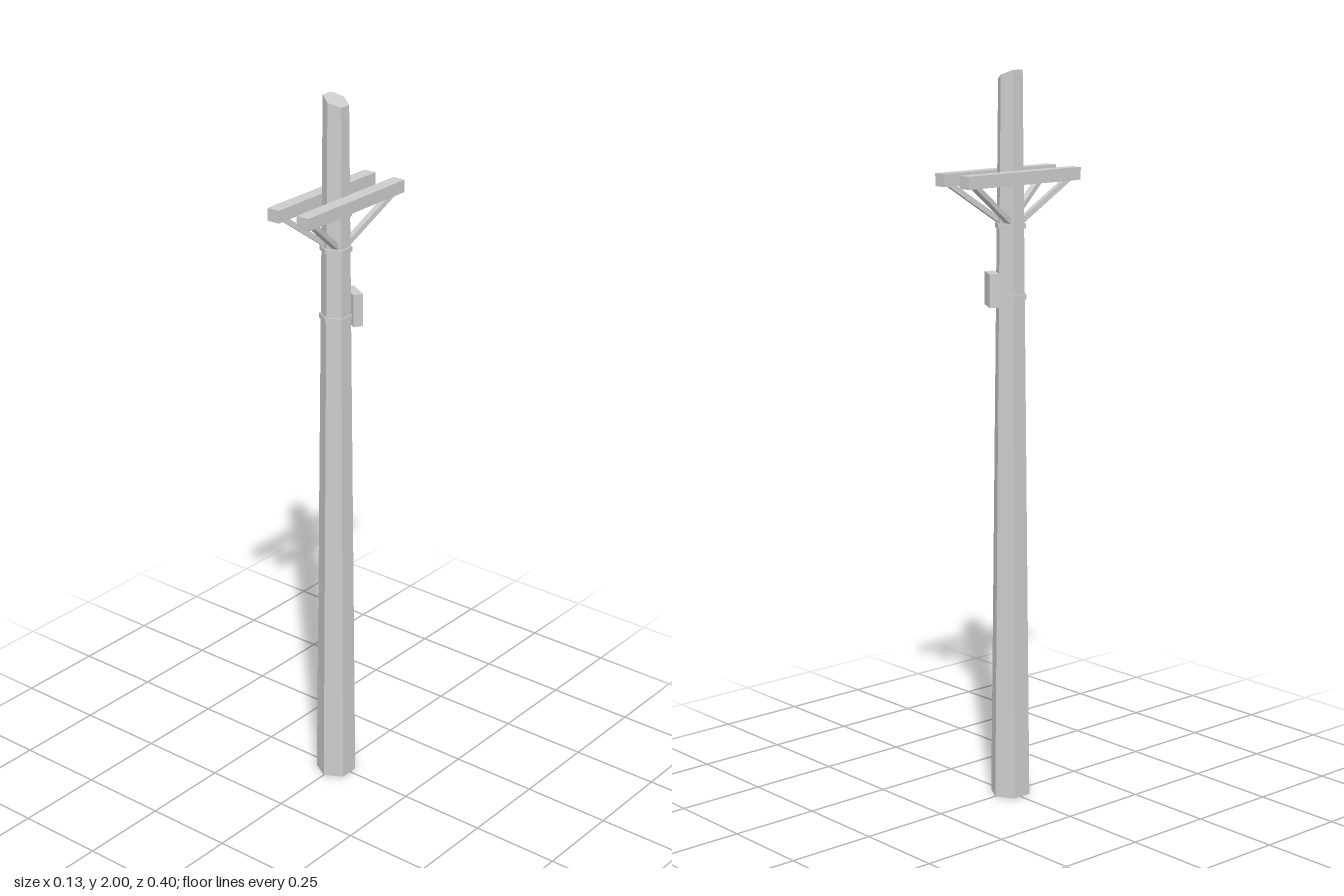
import * as THREE from 'three';

const material = new THREE.MeshStandardMaterial({ color: 0xcccccc, flatShading: true });
const POLE_Z = 0.005;

export function createModel() {
  const model = new THREE.Group();
  model.name = 'utilityPole';

  const add = (name, geometry, x, y, z) => {
    const mesh = new THREE.Mesh(geometry, material);
    mesh.name = name;
    mesh.position.set(x, y, z);
    model.add(mesh);
    return mesh;
  };

  // Tapered six-sided pole, its top cut at a slant
  const pole = new THREE.CylinderGeometry(0.034, 0.056, 2, 6);
  const pos = pole.attributes.position;
  for (let i = 0; i < pos.count; i++) {
    if (pos.getY(i) > 0) pos.setY(i, 1 - (pos.getX(i) + 0.0294) * 0.42);
  }
  pole.computeVertexNormals();
  add('pole', pole, 0, 1, POLE_Z);

  // Metal bands around the pole
  add('upperBand', new THREE.CylinderGeometry(0.043, 0.043, 0.013, 6), 0, 1.59, POLE_Z);
  add('lowerBand', new THREE.CylinderGeometry(0.045, 0.045, 0.013, 6), 0, 1.4, POLE_Z);

  // Equipment box on the back left face of the pole
  const angle = THREE.MathUtils.degToRad(150);
  const reach = 0.05;
  const box = add('equipmentBox', new THREE.BoxGeometry(0.068, 0.09, 0.027),
    Math.sin(angle) * reach, 1.42, POLE_Z + Math.cos(angle) * reach);
  box.rotation.y = angle;

  // Pair of crossarms, each held by two slanted braces
  for (const sx of [1, -1]) {
    const side = sx > 0 ? 'left' : 'right';
    add(side + 'Crossarm', new THREE.BoxGeometry(0.037, 0.034, 0.396), sx * 0.0485, 1.72, 0);

    for (const sz of [1, -1]) {
      const foot = new THREE.Vector3(sx * 0.019, 1.604, POLE_Z + sz * 0.024);
      const head = new THREE.Vector3(sx * 0.052, 1.708, sz * 0.166);
      const middle = foot.clone().lerp(head, 0.5);
      const brace = add(side + (sz > 0 ? 'Front' : 'Back') + 'Brace',
        new THREE.BoxGeometry(0.017, 0.014, foot.distanceTo(head)), middle.x, middle.y, middle.z);
      brace.lookAt(head);
    }
  }

  return model;
}
